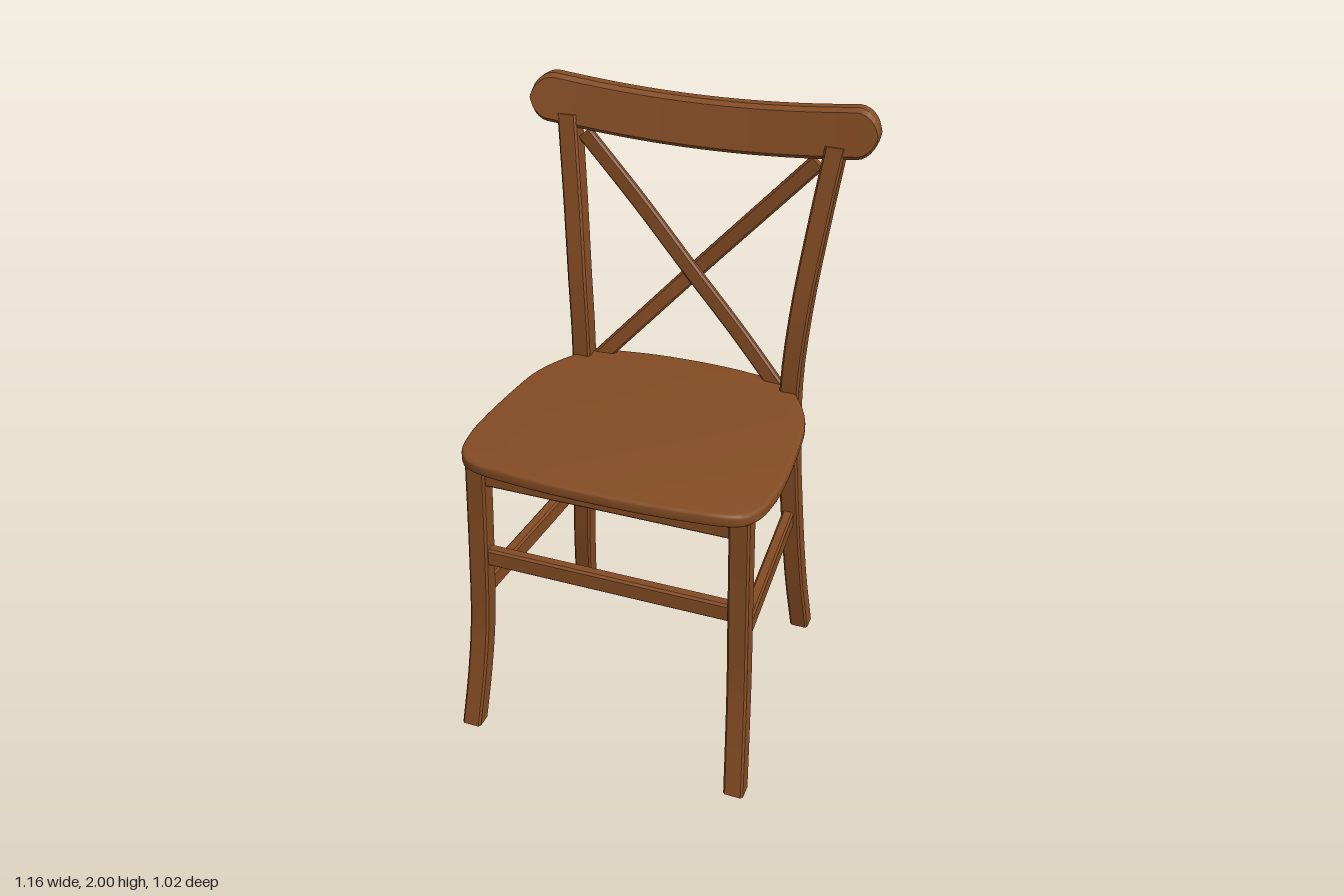
import * as THREE from 'three';
import { toCreasedNormals } from 'three/addons/utils/BufferGeometryUtils.js';

const V = (x, y, z) => new THREE.Vector3(x, y, z);
const X = V(1, 0, 0), Y = V(0, 1, 0), Z = V(0, 0, 1);

// Bevelled rectangle as eight [a, b] offsets, counter-clockwise
function section(w, d, bevel = 0.007) {
  const a = w / 2, b = d / 2, c = Math.min(bevel, a * 0.6, b * 0.6);
  return [[a, -b + c], [a, b - c], [a - c, b], [-a + c, b], [-a, b - c], [-a, -b + c], [-a + c, -b], [a - c, -b]];
}

// Closed skin over a row of equal rings, with capped ends
function loft(rings) {
  const n = rings[0].length, last = (rings.length - 1) * n, index = [];
  for (let i = 0; i < rings.length - 1; i++) {
    for (let j = 0; j < n; j++) {
      const a = i * n + j, b = i * n + (j + 1) % n;
      index.push(a, b, b + n, a, b + n, a + n);
    }
  }
  for (let j = 1; j < n - 1; j++) index.push(0, j + 1, j, last, last + j, last + j + 1);
  const g = new THREE.BufferGeometry();
  g.setAttribute('position', new THREE.Float32BufferAttribute(rings.flat().flatMap(p => p.toArray()), 3));
  g.setIndex(index);
  return toCreasedNormals(g, 0.6);
}

// Bar of w (along u) by d (along v) following a path; u x v points along the path
function bar(points, u, v, w, d) {
  const curve = new THREE.CatmullRomCurve3(points);
  const steps = points.length > 2 ? 20 : 1;
  const rings = [];
  for (let i = 0; i <= steps; i++) {
    const p = curve.getPoint(i / steps);
    rings.push(section(w, d).map(([a, b]) => p.clone().addScaledVector(u, a).addScaledVector(v, b)));
  }
  return loft(rings);
}

// Curved, backward-leaning crest rail with rounded ends
function crestGeometry() {
  const half = 0.58, r = 0.075, xs = [];
  for (let i = 0; i <= 7; i++) xs.push(-half + r - r * Math.cos(0.1 + (i / 7) * (Math.PI / 2 - 0.1)));
  for (let i = 1; i < 20; i++) xs.push((half - r) * (i / 10 - 1));
  for (let i = 7; i >= 0; i--) xs.push(-xs[i]);
  return loft(xs.map(x => {
    const over = Math.max(0, Math.abs(x) - (half - r)) / r;
    const h = 0.152 * Math.sqrt(Math.max(0.01, 1 - over * over));
    const cy = 1.89 + 0.034 * Math.min(1, (x / 0.5) ** 2);
    return section(h, 0.058, 0.012).map(([a, b]) => {
      const y = cy + a;
      return V(x, y, -0.478 - 0.28 * (y - 1.965) + 0.032 * (x / half) ** 2 + b);
    });
  }));
}

// Seat board with a soft trapezoid outline
function seatGeometry() {
  const side = [[0.2, -0.392], [0.35, -0.355], [0.42, -0.27], [0.477, -0.14], [0.496, 0], [0.508, 0.2],
    [0.505, 0.3], [0.484, 0.4], [0.44, 0.45], [0.26, 0.48]];
  const outline = [[0, -0.405], ...side, [0, 0.49], ...side.map(([x, z]) => [-x, z]).reverse()];
  const curve = new THREE.CatmullRomCurve3(outline.map(([x, z]) => V(x, z, 0)), true);
  const pts = curve.getPoints(110).slice(0, -1).map(p => new THREE.Vector2(p.x, p.y));
  const g = new THREE.ExtrudeGeometry(new THREE.Shape(pts), {
    depth: 0.021, bevelEnabled: true, bevelSize: 0.011, bevelOffset: -0.011, bevelThickness: 0.011, bevelSegments: 3,
  });
  g.rotateX(Math.PI / 2).translate(0, 1.045, 0);
  return toCreasedNormals(g, 0.6);
}

export function createModel() {
  const group = new THREE.Group();
  group.name = 'chair';
  const wood = new THREE.MeshStandardMaterial({ color: 0x844c24 });
  wood.name = 'brown wood';
  const add = (name, geometry) => {
    const mesh = new THREE.Mesh(geometry, wood);
    mesh.name = name;
    group.add(mesh);
  };

  add('seat', seatGeometry());
  add('crestRail', crestGeometry());

  for (const [s, tag] of [[1, 'left'], [-1, 'right']]) {
    // Front leg, flaring forward at the foot
    add(tag + 'FrontLeg', bar([V(s * 0.472, 0, 0.48), V(s * 0.459, 0.2, 0.438), V(s * 0.449, 0.4, 0.41),
      V(s * 0.441, 0.65, 0.4), V(s * 0.432, 1.02, 0.393)], Z, X, 0.064, 0.067));
    // Back leg running up into the back upright
    add(tag + 'BackLeg', bar([V(s * 0.441, 0, -0.432), V(s * 0.42, 0.25, -0.385), V(s * 0.399, 0.55, -0.353),
      V(s * 0.381, 0.85, -0.334), V(s * 0.377, 1.1, -0.329), V(s * 0.392, 1.35, -0.345),
      V(s * 0.417, 1.6, -0.385), V(s * 0.45, 1.88, -0.434)], Z, X, 0.068, 0.066));
    // Side rails between front and back legs
    add(tag + 'Apron', bar([V(s * 0.382, 0.977, -0.33), V(s * 0.432, 0.977, 0.39)], X, Y, 0.04, 0.075));
    add(tag + 'Stretcher', bar([V(s * 0.392, 0.532, -0.35), V(s * 0.438, 0.532, 0.4)], X, Y, 0.04, 0.067));
    // Crossed back slat, bowed backward
    const from = V(s * 0.325, 1.035, -0.352), to = V(-s * 0.395, 1.82, -0.425);
    const along = V(to.x - from.x, to.y - from.y, 0).normalize();
    add(tag + 'BackSlat', bar([from, V(s * 0.165, 1.21, -0.38), V(0, 1.39, s > 0 ? -0.395 : -0.413),
      V(-s * 0.2, 1.608, -0.418), to], Z.clone().cross(along), Z, 0.056, 0.026));
  }

  // Cross rails at front and back: name, half length, height, z, size
  for (const [name, x, y, z, h] of [
    ['frontApron', 0.42, 0.977, 0.396, 0.075], ['backApron', 0.37, 0.977, -0.333, 0.075],
    ['frontStretcher', 0.43, 0.664, 0.4, 0.064], ['backStretcher', 0.385, 0.65, -0.346, 0.066],
  ]) add(name, bar([V(-x, y, z), V(x, y, z)], Y, Z, h, 0.04));

  return group;
}
